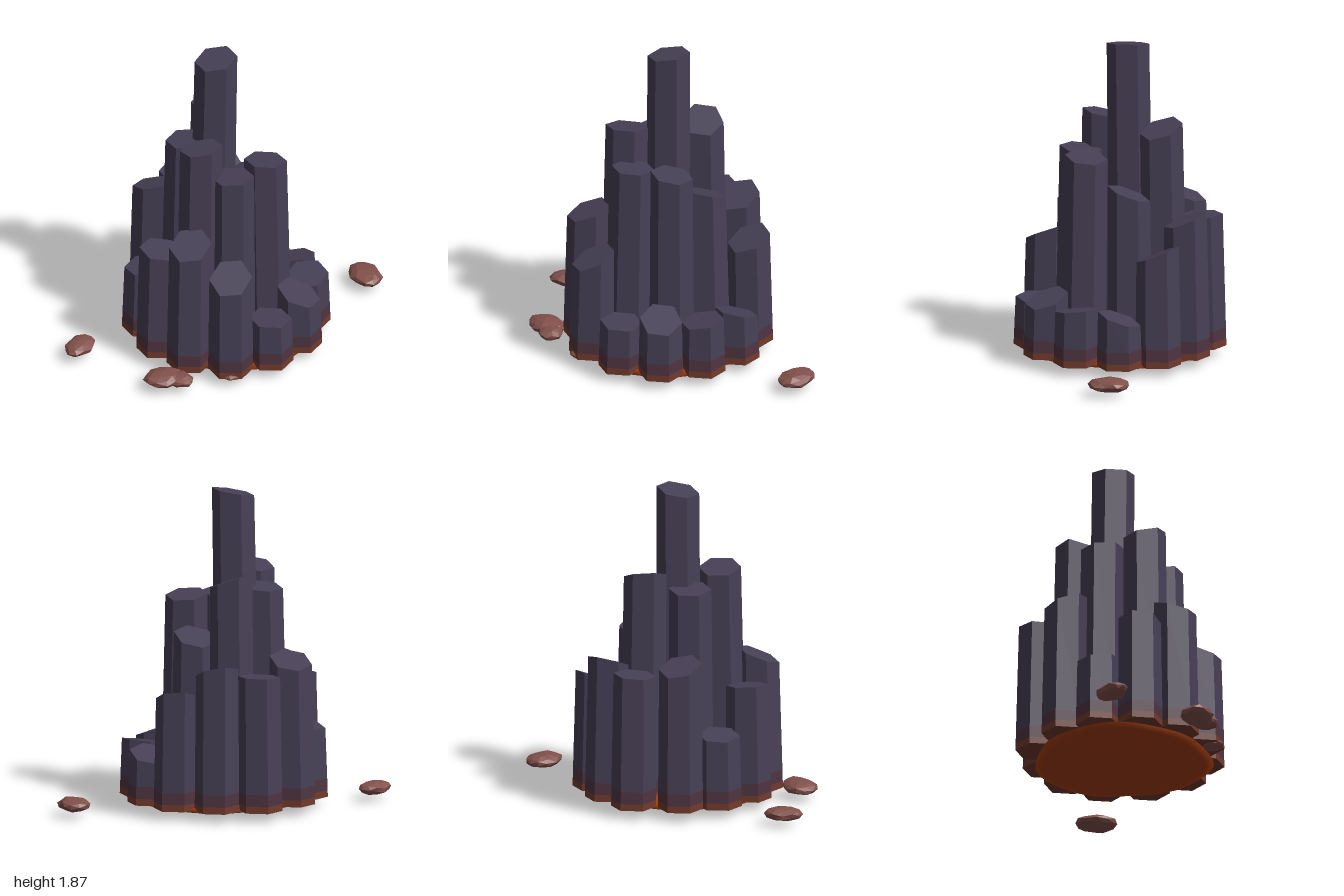
import * as THREE from 'three';

const BASE = 0.06;

// top centre x, z, height, then slope of the cut top along x and z
const COLUMNS = [
  [-0.06, -0.485, 0.84, 0.05, -0.05], [0.17, -0.41, 0.87, 0, -0.4],
  [-0.30, -0.37, 0.90, 0, 0.35], [0.36, -0.265, 0.71, 0.15, -0.4],
  [-0.45, -0.20, 0.48, 0.1, 0.1], [0.025, -0.26, 1.37, -0.25, -0.28],
  [-0.21, -0.145, 1.30, 0.05, 0.1], [-0.065, -0.06, 1.85, 0.19, 0],
  [0.18, -0.085, 1.02, 0.05, 0.36], [0.44, -0.05, 0.345, 0, 0.33],
  [-0.485, 0.035, 0.73, -0.1, -0.08], [-0.25, 0.095, 1.385, 0.08, 0.2],
  [0.135, 0.165, 1.22, -0.12, 0.1], [-0.11, 0.215, 1.21, 0, 0.1],
  [0.39, 0.20, 0.375, 0.15, -0.1], [-0.41, 0.25, 0.855, 0.3, -0.25],
  [-0.24, 0.42, 0.67, 0.3, -0.35], [0, 0.46, 0.345, -0.05, 0],
  [0.23, 0.385, 0.40, -0.25, -0.3],
];

const flat = (color) => new THREE.MeshStandardMaterial({ color, flatShading: true });

function createColumn([cx, cz, h, sx, sz]) {
  const column = new THREE.Group();
  column.name = 'basaltColumn';
  const rBottom = 0.13, rTop = 0.123;
  const radius = (y) => THREE.MathUtils.lerp(rBottom, rTop, (y - BASE) / (h - BASE));
  const ring = (y) => new THREE.Vector2(radius(y), y);
  const centre = (y) => new THREE.Vector2(0, y);
  const d = Math.hypot(cx, cz);

  // hot foot, warm transition and cool shaft, each a six-sided band
  const bands = [
    ['glowingFoot', materials.foot, [centre(BASE), ring(BASE), ring(0.1)]],
    ['warmBand', materials.warm, [ring(0.1), ring(0.17)]],
    ['shaft', materials.stone, [ring(0.17), ring(h), centre(h)]],
  ];
  for (const [name, material, profile] of bands) {
    const geometry = new THREE.LatheGeometry(profile, 6);
    const p = geometry.attributes.position;
    for (let i = 0; i < p.count; i++) {
      const x = p.getX(i), y = p.getY(i), z = p.getZ(i);
      // the foot leans slightly outward, the top is cut at a slant
      const lean = 1 + 0.018 * (h - y) / d;
      const slant = y > h - 1e-4 ? sx * x + sz * z : 0;
      p.setXYZ(i, cx * lean + x, y + slant, cz * lean + z);
    }
    geometry.computeVertexNormals();
    const mesh = new THREE.Mesh(geometry, material);
    mesh.name = name;
    column.add(mesh);
  }
  return column;
}

const materials = {
  foot: flat(0x713a2c),
  warm: flat(0x4f3440),
  stone: flat(0x474056),
  rock: flat(0x81504a),
};

// faceted stone: squashed icosphere with a gentle wave over its surface
function createRock(name, [x, y, z], [rx, ry, rz], turn, phase) {
  const geometry = new THREE.IcosahedronGeometry(1, 1);
  const p = geometry.attributes.position;
  const v = new THREE.Vector3();
  for (let i = 0; i < p.count; i++) {
    v.fromBufferAttribute(p, i);
    const k = 0.95 + 0.08 * Math.sin(5 * v.x + phase) * Math.cos(4 * v.z - 3 * v.y + phase);
    p.setXYZ(i, v.x * k * rx, v.y * k * ry, v.z * k * rz);
  }
  geometry.computeVertexNormals();
  const rock = new THREE.Mesh(geometry, materials.rock);
  rock.name = name;
  rock.position.set(x, y, z);
  rock.rotation.y = turn;
  return rock;
}

export function createModel() {
  const model = new THREE.Group();
  model.name = 'basaltColumns';

  // shallow molten bowl under the columns, slightly uneven at the rim
  const profile = [[0, 0.005], [0.2, 0.01], [0.36, 0.025], [0.46, 0.042], [0.51, 0.056],
    [0.47, 0.072], [0.3, 0.085], [0, 0.095]].map(([r, y]) => new THREE.Vector2(r, y));
  const bowl = new THREE.LatheGeometry(profile, 32);
  const p = bowl.attributes.position;
  for (let i = 0; i < p.count; i++) {
    const a = Math.atan2(p.getX(i), p.getZ(i));
    const k = 1 + 0.03 * Math.sin(3 * a + 1) + 0.015 * Math.cos(7 * a);
    p.setX(i, p.getX(i) * k - 0.02);
    p.setZ(i, p.getZ(i) * k);
  }
  const lava = new THREE.Mesh(bowl, new THREE.MeshStandardMaterial({ color: 0xa33c10 }));
  lava.name = 'lavaBase';
  model.add(lava);

  for (const c of COLUMNS) model.add(createColumn(c));

  // scattered stones
  model.add(
    createRock('leftRock', [0.903, 0.077, -0.025], [0.095, 0.043, 0.13], -0.1, 0.4),
    createRock('farRock', [-0.895, 0.077, -0.185], [0.12, 0.043, 0.08], 0.5, 1.7),
    createRock('largeRock', [-0.64, 0.077, 0.345], [0.125, 0.045, 0.1], -0.3, 2.6),
    createRock('largeRockLump', [-0.565, 0.072, 0.4], [0.075, 0.038, 0.085], 0.3, 4.1),
    createRock('smallRock', [-0.27, 0.066, 0.49], [0.07, 0.027, 0.065], 0.4, 5.2),
  );
  return model;
}
